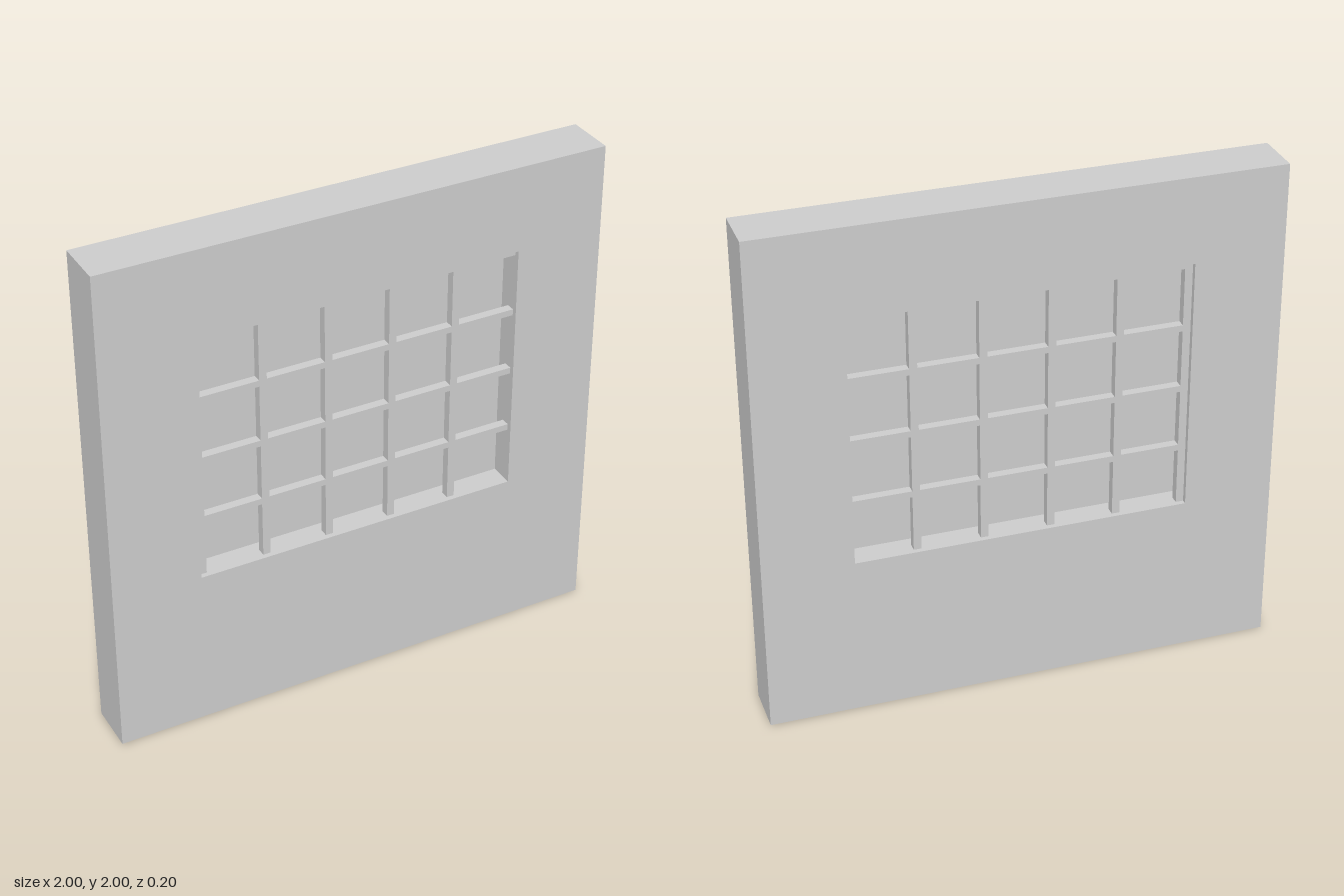
import * as THREE from 'three';

const material = new THREE.MeshStandardMaterial({ color: 0xcccccc });

// Window opening and wall sizes
const L = -0.65, R = 0.65, B = 0.65, T = 1.66, DEPTH = 0.2;
const COLS = 5, ROWS = 4;
const BAR_W = 0.03, BAR_H = 0.025, BAR_D = 0.035, BAR_Z = 0.0625;

function rectangle(PathType, x0, y0, x1, y1) {
  return new PathType([[x0, y0], [x1, y0], [x1, y1], [x0, y1]].map(([x, y]) => new THREE.Vector2(x, y)));
}

function addBox(parent, name, w, h, d, x, y, z) {
  const mesh = new THREE.Mesh(new THREE.BoxGeometry(w, h, d), material);
  mesh.name = name;
  mesh.position.set(x, y, z);
  parent.add(mesh);
}

export function createModel() {
  const model = new THREE.Group();
  model.name = 'windowWall';

  // Square wall panel with a rectangular opening
  const outline = rectangle(THREE.Shape, -1, 0, 1, 2);
  outline.holes.push(rectangle(THREE.Path, L, B, R, T));
  const wallGeometry = new THREE.ExtrudeGeometry(outline, { depth: DEPTH, bevelEnabled: false });
  wallGeometry.translate(0, 0, -DEPTH / 2);
  const wall = new THREE.Mesh(wallGeometry, material);
  wall.name = 'wall';
  model.add(wall);

  // Thin pane in the middle of the wall
  const width = R - L, height = T - B, midX = (L + R) / 2, midY = (B + T) / 2;
  addBox(model, 'glassPane', width, height, 0.004, midX, midY, 0);

  // Grid of bars on each side of the pane, starting at the -x jamb and the top
  for (const side of [1, -1]) {
    const grid = new THREE.Group();
    grid.name = side > 0 ? 'frontBars' : 'backBars';
    for (let i = 0; i < COLS; i++) {
      const x = L + (i * width) / COLS + BAR_W / 2;
      addBox(grid, 'verticalBar', BAR_W, height, BAR_D, x, midY, side * BAR_Z);
    }
    for (let j = 0; j < ROWS; j++) {
      const y = T - (j * height) / ROWS - BAR_H / 2;
      addBox(grid, 'horizontalBar', width, BAR_H, BAR_D, midX, y, side * BAR_Z);
    }
    model.add(grid);
  }
  return model;
}
